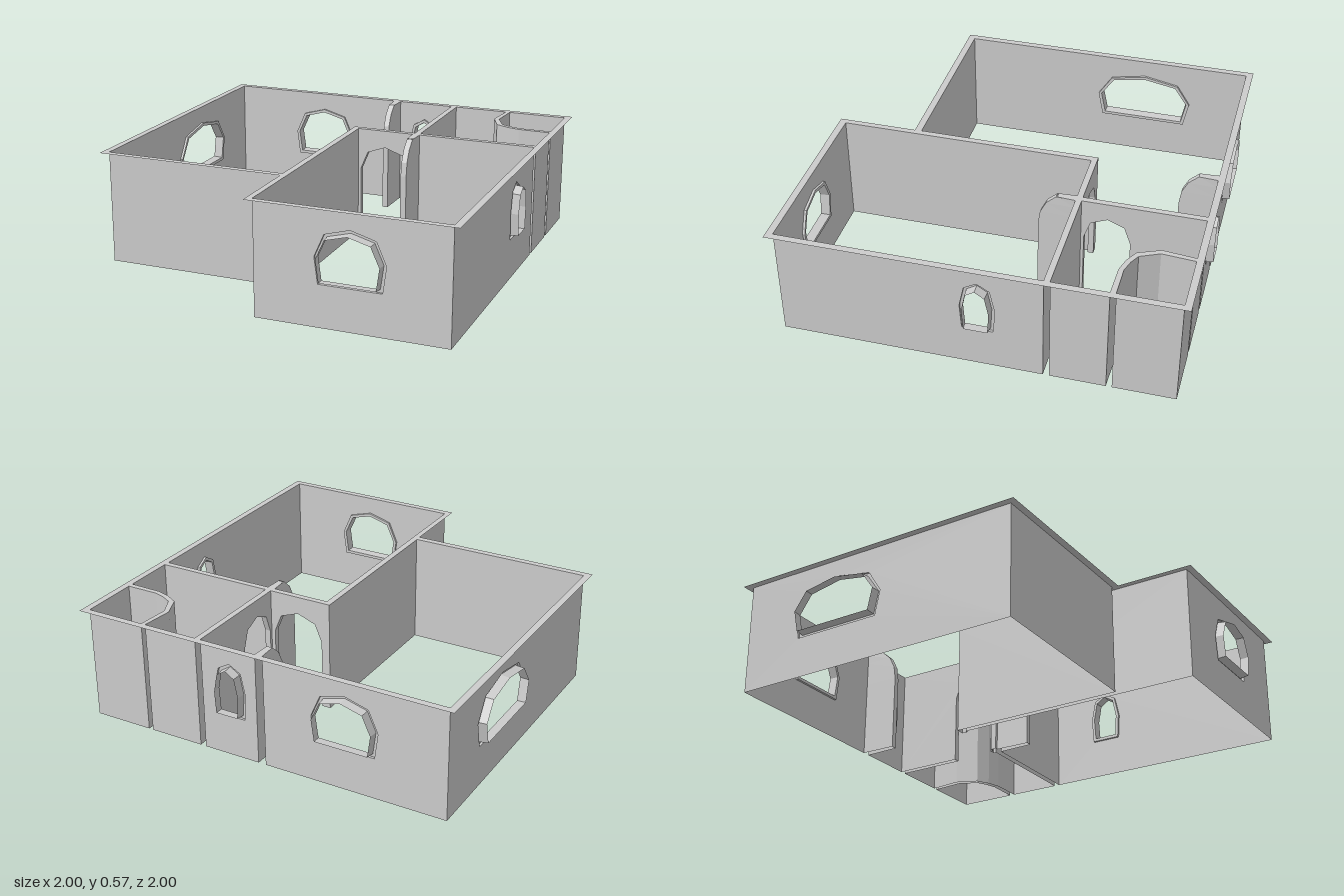
import * as THREE from 'three';

const H = 0.575;
const mat = new THREE.MeshStandardMaterial({ color: 0xcccccc, flatShading: true, side: THREE.DoubleSide });
const v2 = ([x, y]) => new THREE.Vector2(x, y);

// Outlines: fraction of the width from the centre, height
const WINDOW = [[-0.45, 0.21], [-0.5, 0.34], [-0.36, 0.45], [0, 0.485], [0.36, 0.45], [0.5, 0.34], [0.45, 0.21]];
const DOOR = [[-0.5, 0], [-0.5, 0.36], [-0.36, 0.45], [0, 0.485], [0.36, 0.45], [0.5, 0.36], [0.5, 0]];

// Skin between matching rows of points
function loft(rows, closed) {
  const n = rows[0].length, index = [];
  for (let r = 0; r < rows.length - 1; r++) {
    for (let i = 0; i < (closed ? n : n - 1); i++) {
      const a = r * n + i, b = r * n + (i + 1) % n;
      index.push(a, b, a + n, b, b + n, a + n);
    }
  }
  const g = new THREE.BufferGeometry();
  g.setAttribute('position', new THREE.Float32BufferAttribute(rows.flat(2), 3));
  g.setIndex(index);
  const flat = g.toNonIndexed();
  flat.computeVertexNormals();
  return flat;
}

function add(parent, name, geometry) {
  const mesh = new THREE.Mesh(geometry, mat);
  mesh.name = name;
  parent.add(mesh);
}

// Window frame: flange just inside the room and a sleeve reaching outward
function windowFrame(outline, u, width) {
  const at = (inset, z) => outline.map(([x, y]) =>
    [u + (x - u) * (1 - 2 * inset / width), 0.345 + (y - 0.345) * (1 - inset / 0.135), z]);
  return loft([at(0, 0), at(0, -0.012), at(0.016, -0.012), at(0.02, 0.035)], true);
}

// One wall from a to b; local z points out of the room
function addWall(room, a, b, opening) {
  const dx = b[0] - a[0], dz = b[1] - a[1], len = Math.hypot(dx, dz);
  const m = new THREE.Matrix4().makeBasis(
    new THREE.Vector3(dx / len, 0, dz / len), new THREE.Vector3(0, 1, 0),
    new THREE.Vector3(-dz / len, 0, dx / len)).setPosition(a[0], 0, a[1]);
  const base = [[0, 0]], hole = [];
  if (opening) {
    const start = Math.abs(dx) > Math.abs(dz) ? a[0] : a[1];
    const u = Math.abs(opening.at - start), isDoor = opening.type === 'door';
    const outline = (isDoor ? DOOR : WINDOW).map(([x, y]) => [u + x * opening.width, y]);
    if (isDoor) {
      base.push(...outline);
      if (opening.reveal) {
        const rows = [0, 0.03].map(z => outline.map(([x, y]) => [x, y, z]));
        add(room, 'doorReveal', loft(rows, false).applyMatrix4(m));
      }
    } else {
      hole.push(...outline);
      add(room, 'windowFrame', windowFrame(outline, u, opening.width).applyMatrix4(m));
    }
  }
  const shape = new THREE.Shape([...base, [len, 0], [len, H], [0, H]].map(v2));
  if (hole.length) shape.holes.push(new THREE.Path(hole.map(v2)));
  add(room, 'wall', new THREE.ShapeGeometry(shape).applyMatrix4(m));
}

// Hollow fin standing out from a wall, with a curved shoulder
function addFin(room, x, z) {
  const edge = [[0.185, 0], [0.185, 0.4], [0.175, 0.47], [0.145, 0.53], [0.095, H]];
  const side = s => edge.map(([d, y]) => [x + s * 0.015, y, z + d]);
  const root = s => edge.map(([, y]) => [x + s * 0.02, y, z]);
  add(room, 'fin', loft([root(-1), side(-1), side(1), root(1)], false));
}

const ROOMS = [
  {
    name: 'livingRoomAndHall',
    pts: [[-0.965, 0.565], [-0.015, 0.565], [-0.015, -0.36], [0.32, -0.36], [0.32, -0.965],
      [0.02, -0.965], [0.015, -0.87], [-0.015, -0.87], [-0.02, -0.965], [-0.965, -0.965]],
    fin: { x: 0, z: -0.965, edges: [5, 6, 7] },
    openings: {
      2: { type: 'door', at: 0.165, width: 0.27, reveal: true },
      3: { type: 'door', at: -0.49, width: 0.23, reveal: true },
      4: { type: 'window', at: 0.165, width: 0.17 },
      8: { type: 'window', at: -0.445, width: 0.345 },
      9: { type: 'window', at: -0.415, width: 0.51 },
    },
  },
  {
    name: 'frontRoom',
    pts: [[0.015, 0.965], [0.965, 0.965], [0.965, -0.33], [0.355, -0.33], [0.35, -0.24],
      [0.32, -0.24], [0.315, -0.33], [0.015, -0.33]],
    fin: { x: 0.335, z: -0.33, edges: [3, 4, 5] },
    openings: {
      0: { type: 'window', at: 0.4875, width: 0.345 },
      1: { type: 'window', at: -0.015, width: 0.17 },
      6: { type: 'door', at: 0.165, width: 0.27 },
    },
  },
  {
    name: 'bathroom',
    pts: [[0.35, -0.36], [0.965, -0.36], [0.965, -0.632], [0.8, -0.635], [0.73, -0.655],
      [0.665, -0.69], [0.618, -0.8], [0.635, -0.965], [0.35, -0.965]],
    openings: { 8: { type: 'door', at: -0.49, width: 0.23 } },
  },
  {
    name: 'shower',
    pts: [[0.8, -0.66], [0.965, -0.66], [0.965, -0.965], [0.658, -0.965], [0.645, -0.8],
      [0.69, -0.705], [0.74, -0.678]],
    openings: {},
  },
];

export function createModel() {
  const model = new THREE.Group();
  model.name = 'floorPlan';

  for (const { name, pts, fin, openings } of ROOMS) {
    const room = new THREE.Group();
    room.name = name;
    pts.forEach((p, i) => {
      if (!fin || !fin.edges.includes(i)) addWall(room, p, pts[(i + 1) % pts.length], openings[i]);
    });
    if (fin) addFin(room, fin.x, fin.z);
    model.add(room);
  }

  // Flat cap over the wall thickness, cut out over each room
  const cap = new THREE.Shape([[-1, -1], [1, -1], [1, 1], [-0.015, 1], [-0.015, 0.6], [-1, 0.6]].map(v2));
  // Hole stops just short of the shared outer corner
  for (const { pts } of ROOMS) {
    cap.holes.push(new THREE.Path(pts.map(([x, z]) => v2([x === -0.015 && z > -0.5 ? -0.017 : x, z]))));
  }
  add(model, 'wallCap', new THREE.ShapeGeometry(cap).rotateX(Math.PI / 2).translate(0, H, 0));
  return model;
}
